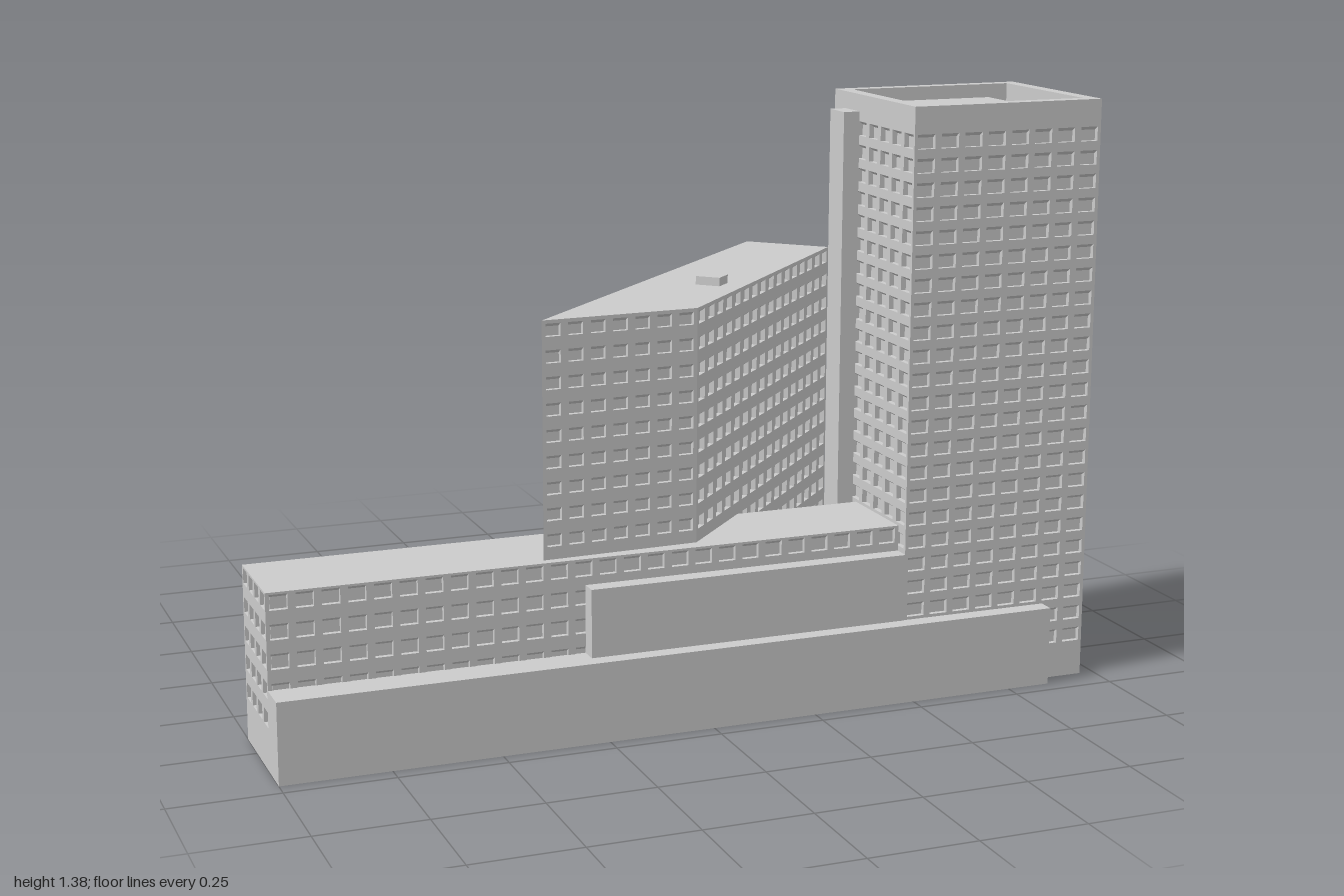
import * as THREE from 'three';

const mat = new THREE.MeshStandardMaterial({ color: 0xcccccc });

function add(parent, name, geometry, x = 0, y = 0, z = 0) {
  const mesh = new THREE.Mesh(geometry, mat);
  mesh.name = name;
  mesh.position.set(x, y, z);
  parent.add(mesh);
  return mesh;
}

// Box given by its limits on each axis
function block(parent, name, [x0, x1], [y0, y1], [z0, z1]) {
  return add(parent, name, new THREE.BoxGeometry(x1 - x0, y1 - y0, z1 - z0),
    (x0 + x1) / 2, (y0 + y1) / 2, (z0 + z1) / 2);
}

const planShape = pts => new THREE.Shape(pts.map(([x, z]) => new THREE.Vector2(x, -z)));

// Vertical prism over a plan of [x, z] points
function prism(shape, height) {
  return new THREE.ExtrudeGeometry(shape, { depth: height, bevelEnabled: false }).rotateX(-Math.PI / 2);
}

// Wall from plan point a to b with a grid of recessed windows that have sloping heads
function facade(a, b, height, { cols, rows, top, pitch, winH, winW }) {
  const pos = [];
  const len = Math.hypot(b[0] - a[0], b[1] - a[1]);
  const dx = (b[0] - a[0]) / len, dz = (b[1] - a[1]) / len;
  const depth = 0.012, slope = 0.008;
  // s runs along the wall, y up, d inwards
  const point = ([s, y, d = 0]) => [a[0] + dx * s + dz * d, y, a[1] + dz * s - dx * d];
  const quad = (...c) => {
    for (const i of [0, 1, 2, 0, 2, 3]) pos.push(...point(c[i]));
  };
  const flat = (s0, s1, y0, y1, d = 0) => quad([s0, y0, d], [s1, y0, d], [s1, y1, d], [s0, y1, d]);

  const cell = len / cols;
  const w = cell * winW;
  let upper = height;
  for (let r = 0; r < rows; r++) {
    const y1 = top - r * pitch, y0 = y1 - winH, yi = y1 - slope;
    flat(0, len, y1, upper);
    let left = 0;
    for (let c = 0; c < cols; c++) {
      const s0 = cell * (c + 0.5) - w / 2, s1 = s0 + w;
      flat(left, s0, y0, y1);
      flat(s0, s1, y0, yi, depth);
      quad([s0, yi, depth], [s1, yi, depth], [s1, y1], [s0, y1]);
      quad([s0, y0], [s1, y0], [s1, y0, depth], [s0, y0, depth]);
      quad([s0, y0], [s0, y0, depth], [s0, yi, depth], [s0, y1]);
      quad([s1, y0, depth], [s1, y0], [s1, y1], [s1, yi, depth]);
      left = s1;
    }
    flat(left, len, y0, y1);
    upper = y0;
  }
  flat(0, len, 0, upper);
  const g = new THREE.BufferGeometry();
  g.setAttribute('position', new THREE.Float32BufferAttribute(pos, 3));
  g.computeVertexNormals();
  return g;
}

// Block with windows on every side; cols lists the window columns of each wall
function building(parent, name, plan, height, cols, windows) {
  const group = new THREE.Group();
  group.name = name;
  plan.forEach((p, i) => {
    const next = plan[(i + 1) % plan.length];
    add(group, name + 'Wall', facade(p, next, height, { ...windows, cols: cols[i] }));
  });
  const cap = new THREE.ShapeGeometry(planShape(plan));
  add(group, name + 'Roof', cap.clone().rotateX(-Math.PI / 2), 0, height, 0);
  const floor = new THREE.ShapeGeometry(planShape(plan.map(([x, z]) => [x, -z])));
  add(group, name + 'Floor', floor.rotateX(Math.PI / 2));
  parent.add(group);
  return group;
}

const rect = (x0, x1, z0, z1) => [[x0, z1], [x1, z1], [x1, z0], [x0, z0]];

export function createModel() {
  const model = new THREE.Group();
  model.name = 'buildingComplex';

  // Tall tower with a sunken roof behind a parapet
  const towerPlan = rect(0.49, 0.965, 0, 0.42);
  const tower = building(model, 'tower', towerPlan, 1.32, [8, 7, 8, 7],
    { rows: 23, top: 1.317, pitch: 0.0545, winH: 0.033, winW: 0.73 });
  const ring = planShape(towerPlan);
  ring.holes.push(planShape(rect(0.522, 0.933, 0.03, 0.388)));
  add(tower, 'parapet', prism(ring, 0.06), 0, 1.32, 0);
  block(tower, 'roofPlant', [0.54, 0.83], [1.32, 1.36], [0.13, 0.24]);
  block(tower, 'sideShaft', [0.45, 0.49], [0, 1.34], [0.06, 0.135]);

  // Rounded stair shaft on the back, one half with a slanting top
  const cx = 0.645, rx = 0.12, rz = 0.063, high = 1.265, low = 1.12;
  const quarter = side => {
    const pts = [[cx, 0.01]];
    for (let i = 0; i <= 14; i++) {
      const t = (i / 14) * Math.PI / 2;
      pts.push([cx + side * rx * Math.sin(t), -rz * Math.cos(t)]);
    }
    pts.push([cx + side * rx, 0.01]);
    return prism(planShape(pts), high);
  };
  add(tower, 'stairShaftTall', quarter(-1));
  const slanted = quarter(1);
  const p = slanted.attributes.position;
  for (let i = 0; i < p.count; i++) {
    if (p.getY(i) > 0.5) p.setY(i, low + (high - low) * (p.getX(i) - cx) / rx);
  }
  slanted.computeVertexNormals();
  add(tower, 'stairShaftSlanted', slanted);
  add(tower, 'backFin', prism(planShape([[0.765, 0.005], [0.85, 0.005], [0.807, -0.037]]), high));

  // Curved entrance porch on the tower's side
  const porch = new THREE.CylinderGeometry(1, 1, 0.1, 32, 1, false, 0, Math.PI);
  porch.scale(0.035, 1, 0.08);
  add(tower, 'porch', porch, 0.965, 0.05, 0.21);

  // Slab block set at an angle
  const slab = building(model, 'angledSlab',
    [[-0.37, 0.36], [0, 0.345], [0.62, -0.305], [0.463, -0.46]], 0.945, [7, 16, 4, 21],
    { rows: 15, top: 0.937, pitch: 0.0592, winH: 0.029, winW: 0.66 });
  const hatch = block(slab, 'roofHatch', [0.115, 0.175], [0.94, 0.965], [0.05, 0.1]);
  hatch.rotation.y = -Math.PI / 4;

  // Long low wing
  building(model, 'lowWing', rect(-1, 0.49, 0.155, 0.382), 0.405, [26, 4, 26, 4],
    { rows: 5, top: 0.4, pitch: 0.066, winH: 0.035, winW: 0.7 });

  // Plain podium steps along the front
  block(model, 'frontPodium', [-1, 0.855], [0, 0.187], [0.38, 0.46]);
  block(model, 'upperPodium', [-0.28, 0.49], [0, 0.345], [0.38, 0.422]);

  return model;
}
